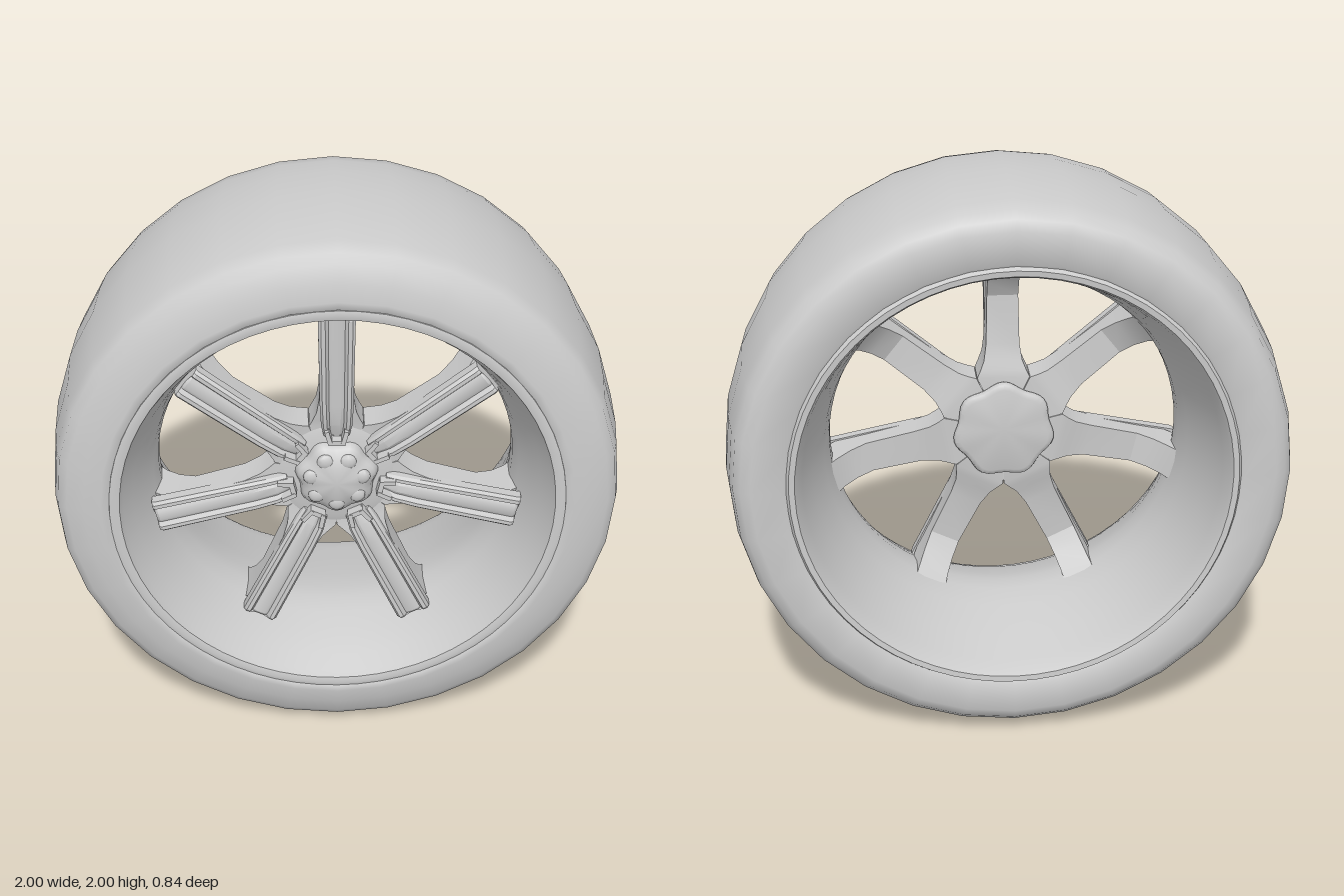
import * as THREE from 'three';
import { toCreasedNormals } from 'three/addons/utils/BufferGeometryUtils.js';

const SPOKES = 7;
const STEP = (Math.PI * 2) / SPOKES;
const grey = new THREE.MeshStandardMaterial({ color: 0xcccccc });

function add(parent, name, geometry, crease = 0.6) {
  const mesh = new THREE.Mesh(toCreasedNormals(geometry, crease), grey);
  mesh.name = name;
  parent.add(mesh);
  return mesh;
}

// Revolve [radius, z] points about the wheel axis; lobes ripple the radius.
function turned(points, segments, lobes = 0, depth = 0) {
  const g = new THREE.LatheGeometry(points.map(([r, z]) => new THREE.Vector2(r, z)), segments);
  g.rotateX(Math.PI / 2);
  const p = g.attributes.position;
  for (let i = 0; lobes && i < p.count; i++) {
    const x = p.getX(i), y = p.getY(i);
    const k = 1 + depth * Math.cos(lobes * (Math.atan2(y, x) - Math.PI / 2));
    p.setXY(i, x * k, y * k);
  }
  return g;
}

// Skin a bar running along +y from rings of [x, z], and close both ends.
function loft(rings) {
  const n = rings[0].points.length, pos = [], idx = [];
  rings.forEach(({ r, points }) => points.forEach(([x, z]) => pos.push(x, r, z)));
  for (let i = 0; i < rings.length - 1; i++) {
    for (let j = 0; j < n; j++) {
      const a = i * n + j, b = i * n + (j + 1) % n;
      idx.push(a, b, a + n, b, b + n, a + n);
    }
  }
  [0, rings.length - 1].forEach((i) => {
    const { r, points } = rings[i], c = pos.length / 3;
    const mean = (k) => points.reduce((s, p) => s + p[k], 0) / n;
    pos.push(mean(0), r, mean(1));
    for (let j = 0; j < n; j++) {
      const a = i * n + j, b = i * n + (j + 1) % n;
      if (i) idx.push(c, a, b); else idx.push(c, b, a);
    }
  });
  const g = new THREE.BufferGeometry();
  g.setAttribute('position', new THREE.Float32BufferAttribute(pos, 3));
  g.setIndex(idx);
  return g;
}

// Spoke body: flared into the hub, with a foot sweeping back to the barrel.
function spokeBody() {
  const stations = [ // radius, half width, front z, back z
    [0.10, 0.046, 0.19, 0.07], [0.20, 0.095, 0.19, 0.07], [0.225, 0.083, 0.195, 0.075],
    [0.26, 0.069, 0.20, 0.085], [0.32, 0.06, 0.21, 0.1], [0.50, 0.056, 0.215, 0.11],
    [0.56, 0.056, 0.215, 0.08], [0.61, 0.057, 0.20, 0.035], [0.645, 0.06, 0.17, -0.01],
  ];
  return loft(stations.map(([r, w, f, b]) => ({
    r, points: [[-w, f], [w, f], [w, b], [-w, b]],
  })));
}

// Grooved face rail lying on the spoke body.
function spokeRail() {
  const section = [ // across the width, drop from the crest
    [-1, 0.012], [-0.85, 0], [-0.62, 0], [-0.45, 0.018], [-0.25, 0.012],
    [0.25, 0.012], [0.45, 0.018], [0.62, 0], [0.85, 0], [1, 0.012],
  ];
  const stations = [[0.17, 0.045, 0.215], [0.22, 0.054, 0.232], [0.30, 0.058, 0.238],
    [0.645, 0.063, 0.246], [0.655, 0.062, 0.24]];
  return loft(stations.map(([r, w, z]) => ({
    r,
    points: [...section.map(([u, d]) => [u * w, z - d]), [w, z - 0.05], [-w, z - 0.05]],
  })));
}

export function createModel() {
  const model = new THREE.Group();
  const wheel = new THREE.Group();
  wheel.name = 'wheel';
  wheel.position.y = 1;
  model.add(wheel);

  // Tyre with rounded shoulders
  add(wheel, 'tyre', turned([
    [0.76, -0.39], [0.79, -0.412], [0.9, -0.412], [0.935, -0.395], [0.96, -0.365], [0.975, -0.3],
    [0.99, -0.18], [1, 0], [0.99, 0.18], [0.975, 0.3], [0.96, 0.36],
    [0.93, 0.382], [0.87, 0.402], [0.81, 0.416], [0.785, 0.416], [0.76, 0.39],
  ], 32), 0.9);

  // Rim: front lip, waisted barrel, back lip
  add(wheel, 'rim', turned([
    [0.785, 0.39], [0.78, 0.416], [0.765, 0.42], [0.745, 0.415], [0.735, 0.39],
    [0.705, 0.33], [0.675, 0.25], [0.645, 0.16], [0.63, 0.09], [0.632, 0.02], [0.65, -0.08],
    [0.69, -0.23], [0.725, -0.35], [0.74, -0.4], [0.75, -0.42], [0.77, -0.422], [0.782, -0.4],
  ], 64), 0.7);

  // Hub barrel, lobed front cap and scalloped back plate
  add(wheel, 'hub', turned([[0, 0.075], [0.21, 0.075], [0.215, 0.185], [0.17, 0.2], [0, 0.2]], 42));
  add(wheel, 'hubCap', turned([
    [0.135, 0.17], [0.14, 0.2], [0.128, 0.225], [0.1, 0.243], [0.06, 0.255], [0, 0.262],
  ], 56, SPOKES, -0.06), 1);
  add(wheel, 'hubBackPlate', turned([
    [0, 0.055], [0.155, 0.038], [0.172, 0.045], [0.178, 0.06], [0.17, 0.09],
  ], 56, SPOKES, 0.05), 0.8);

  const body = spokeBody();
  const rail = spokeRail();
  for (let i = 0; i < SPOKES; i++) {
    const spoke = new THREE.Group();
    spoke.name = 'spoke' + (i + 1);
    spoke.rotation.z = i * STEP;
    wheel.add(spoke);
    add(spoke, 'spokeBody', body, 0.5);
    add(spoke, 'spokeRail', rail, 0.5);

    // Forked clip at the spoke root
    for (const side of [-1, 1]) {
      const prong = add(spoke, 'clipProng', new THREE.BoxGeometry(0.016, 0.055, 0.04));
      prong.position.set(side * 0.028, 0.178, 0.222);
      prong.rotation.z = -side * 0.25;
    }
    add(spoke, 'clipBridge', new THREE.BoxGeometry(0.05, 0.018, 0.036)).position.set(0, 0.158, 0.222);

    // Rounded bump on the cap, between spokes
    const bump = add(spoke, 'capBump', new THREE.SphereGeometry(0.03, 12, 8), 1);
    bump.position.set(0.09 * Math.sin(STEP / 2), 0.09 * Math.cos(STEP / 2), 0.238);
    bump.scale.z = 0.55;
  }
  return model;
}
